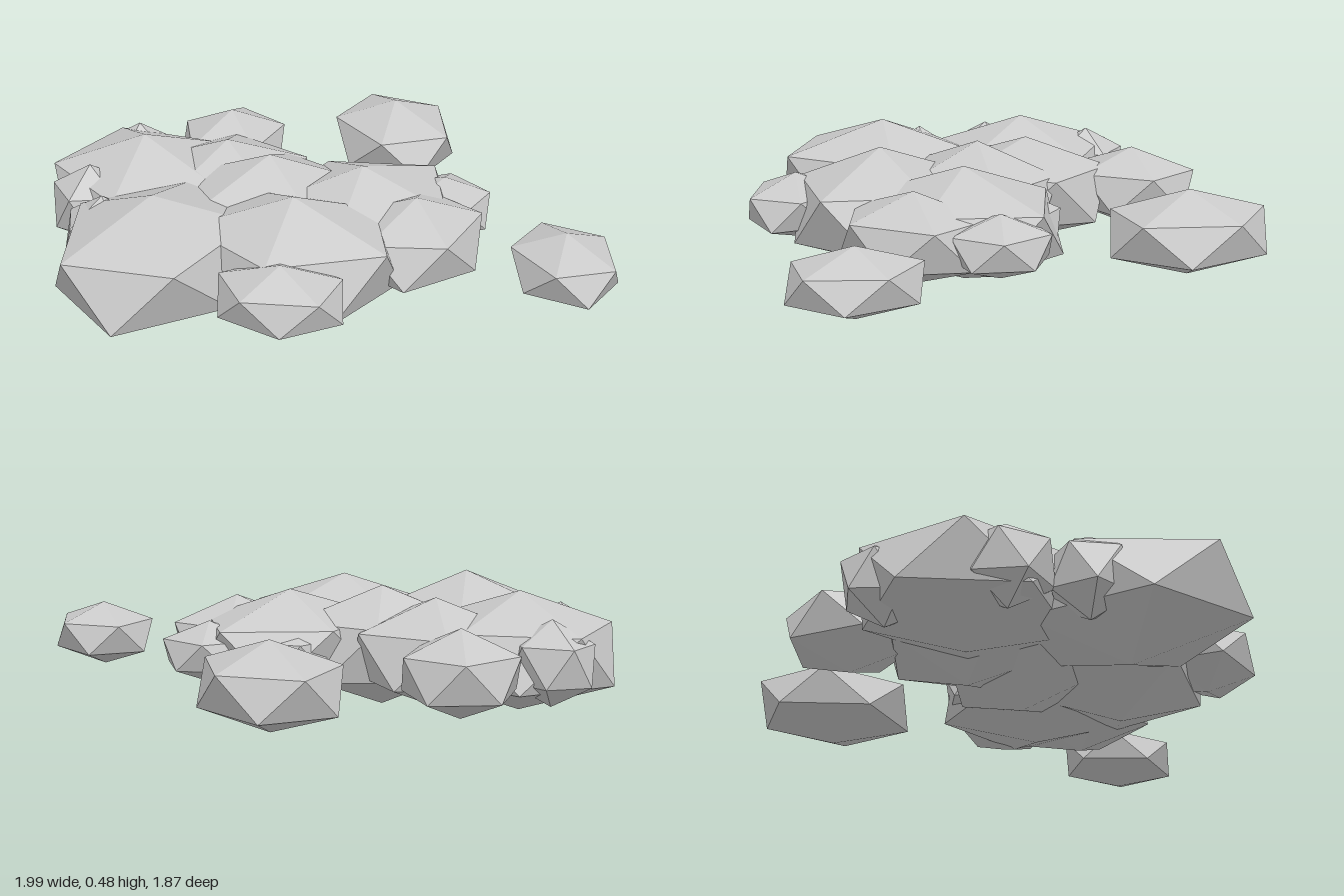
import * as THREE from 'three';

// Faceted rock: two poles and two offset five-corner rings.
// a = [x, z] reach to the first upper corner, b = reach a quarter turn further on.
function rockGeometry(h, a, b) {
  const points = [[0, h, 0], [0, -h, 0]];
  const corner = (k) => {
    const t = (k * Math.PI * 2) / 5;
    return [0, 1].map((i) => a[i] * Math.cos(t) + b[i] * Math.sin(t));
  };
  for (let k = 0; k < 5; k++) {
    const [ux, uz] = corner(k);
    const [lx, lz] = corner(k + 3);
    points.push([ux, h * 0.447, uz], [-lx, -h * 0.447, -lz]);
  }
  const faces = [];
  for (let k = 0; k < 5; k++) {
    const n = (k + 1) % 5;
    const u = 2 + 2 * k, d = u + 1, u2 = 2 + 2 * n, d2 = u2 + 1;
    faces.push(0, u2, u, u, u2, d, d, u2, d2, 1, d, d2);
  }
  const indexed = new THREE.BufferGeometry();
  indexed.setAttribute('position', new THREE.Float32BufferAttribute(points.flat(), 3));
  indexed.setIndex(faces);
  const geometry = indexed.toNonIndexed();
  geometry.computeVertexNormals();
  return geometry;
}

export function createModel() {
  const group = new THREE.Group();
  group.name = 'rockCluster';
  const stone = new THREE.MeshStandardMaterial({ color: 0xcacaca, flatShading: true });
  stone.name = 'pale grey stone';

  // name, x, z, half height, a, b
  const rocks = [
    // large boulders of the main pile
    ['frontLeftBoulder', -0.63, 0.26, 0.24, [0.012, 0.409], [-0.381, 0.093]],
    ['frontBoulder', -0.13, 0.385, 0.237, [-0.065, -0.358], [0.378, 0.003]],
    ['backLeftBoulder', -0.57, -0.33, 0.234, [-0.04, -0.4], [0.36, -0.031]],
    ['centreBoulder', -0.13, -0.01, 0.237, [0.37, 0.03], [-0.03, 0.31]],
    ['rightBoulder', 0.2, 0.14, 0.22, [0.355, -0.2], [0.165, 0.295]],
    ['backCentreBoulder', -0.25, -0.25, 0.213, [0.33, -0.02], [0, 0.33]],
    // medium rocks round the edge
    ['frontRightRock', 0.345, 0.37, 0.175, [0.265, -0.01], [-0.04, 0.265]],
    ['backRock', -0.15, -0.675, 0.165, [0.229, -0.006], [-0.026, 0.246]],
    ['frontRock', -0.25, 0.7, 0.13, [0.222, 0.019], [0.025, 0.199]],
    // small stones wedged between the boulders
    ['leftStone', -0.8, -0.24, 0.165, [-0.14, -0.07], [0.06, -0.155]],
    ['leftFrontStone', -0.79, 0.06, 0.165, [0.15, 0.02], [-0.02, 0.155]],
    ['backLeftStone', -0.55, -0.62, 0.165, [0, -0.165], [0.15, 0.02]],
    ['rightStone', 0.545, 0.1, 0.12, [0.175, 0.04], [-0.03, 0.19]],
    ['backRightStone', 0.26, -0.07, 0.12, [0.03, -0.145], [0.15, 0.02]],
    // separate rocks lying off to the side
    ['looseBackRock', 0.555, -0.625, 0.163, [-0.014, -0.312], [0.247, -0.012]],
    ['looseFrontRock', 0.815, 0.69, 0.128, [0, -0.241], [0.193, 0]],
  ];
  for (const [name, x, z, h, a, b] of rocks) {
    const mesh = new THREE.Mesh(rockGeometry(h, a, b), stone);
    mesh.name = name;
    mesh.position.set(x, 0.24, z);
    group.add(mesh);
  }
  return group;
}
